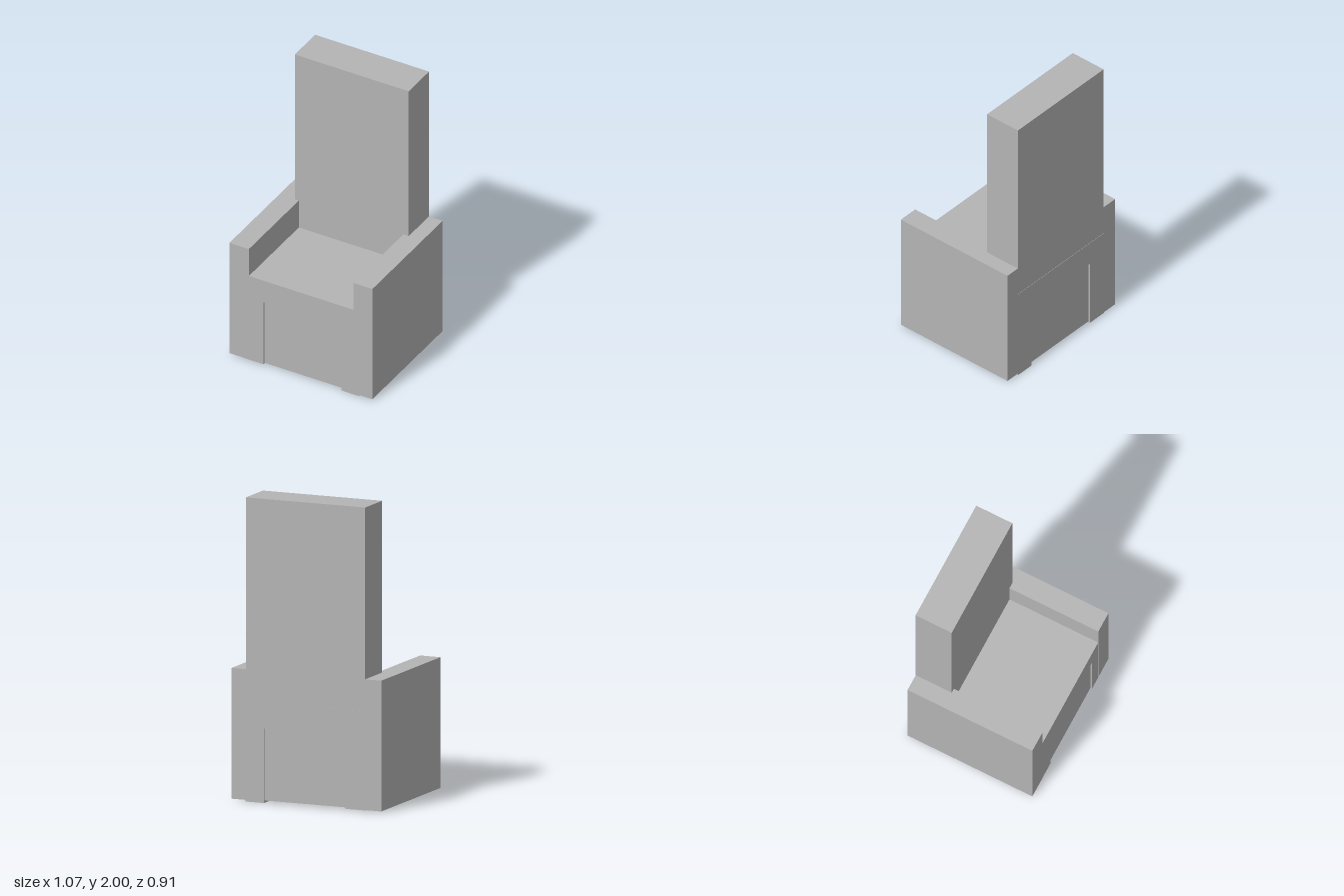
import * as THREE from 'three';

const grey = new THREE.MeshStandardMaterial({ color: 0xb4b4b4 });
grey.name = 'plain grey';

// Box given by its lower and upper corners
function block(name, [x0, y0, z0], [x1, y1, z1]) {
  const geometry = new THREE.BoxGeometry(x1 - x0, y1 - y0, z1 - z0);
  geometry.translate((x0 + x1) / 2, (y0 + y1) / 2, (z0 + z1) / 2);
  const mesh = new THREE.Mesh(geometry, grey);
  mesh.name = name;
  return mesh;
}

// Seat outline: a bridge on two legs, open in the middle
function seatBase() {
  const shape = new THREE.Shape([
    [-0.42, 0.008], [-0.28, 0.008], [-0.28, 0.49], [0.3, 0.49],
    [0.3, 0], [0.43, 0], [0.43, 0.66], [-0.42, 0.66],
  ].map(([x, y]) => new THREE.Vector2(x, y)));
  const geometry = new THREE.ExtrudeGeometry(shape, { depth: 0.911, bevelEnabled: false });
  geometry.translate(0, 0, -0.457);
  const mesh = new THREE.Mesh(geometry, grey);
  mesh.name = 'seatBase';
  return mesh;
}

export function createModel() {
  const chair = new THREE.Group();
  chair.name = 'chair';
  chair.add(
    seatBase(),
    // Panel set slightly back inside the opening under the seat
    block('underSeatPanel', [-0.28, 0.015, -0.445], [0.3, 0.49, 0.445]),
    // Tall back rest standing on the seat
    block('backRest', [-0.42, 0.66, -0.455], [0.43, 2, -0.192]),
    // Solid arms down to the floor
    block('rightArm', [-0.535, 0.01, -0.454], [-0.39, 0.87, 0.455]),
    block('leftArm', [0.39, 0.01, -0.454], [0.532, 0.87, 0.455]),
  );
  return chair;
}
